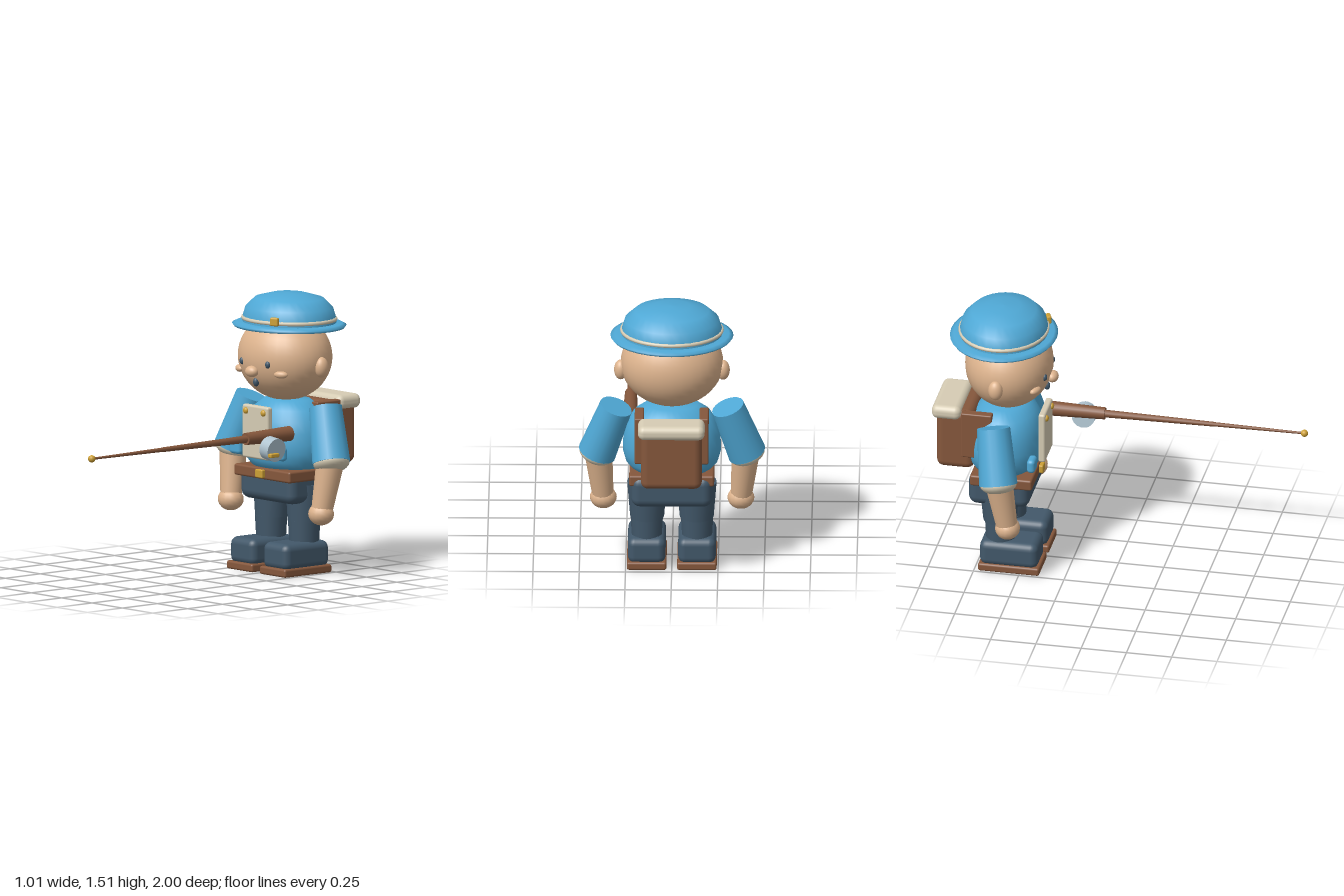
import * as THREE from 'three';
import { RoundedBoxGeometry } from 'three/addons/geometries/RoundedBoxGeometry.js';

const paint = (name, color) => {
  const m = new THREE.MeshStandardMaterial({ color });
  m.name = name;
  return m;
};

export function createModel() {
  const blue = paint('blue cloth', 0x4fa8d5);
  const skin = paint('skin', 0xdeb48e);
  const navy = paint('navy denim', 0x42586a);
  const brown = paint('brown leather', 0x85573c);
  const cream = paint('cream canvas', 0xd6ccb4);
  const gold = paint('brass', 0xcda035);
  const grey = paint('reel metal', 0xb0c4d0);

  const model = new THREE.Group();
  model.name = 'angler';

  const add = (name, geometry, material, x = 0, y = 0, z = 0) => {
    const mesh = new THREE.Mesh(geometry, material);
    mesh.name = name;
    mesh.position.set(x, y, z);
    model.add(mesh);
    return mesh;
  };
  const ball = (name, mat, x, y, z, rx, ry = rx, rz = rx, w = 24, h = 16) => {
    const mesh = add(name, new THREE.SphereGeometry(1, w, h), mat, x, y, z);
    mesh.scale.set(rx, ry, rz);
    return mesh;
  };
  const box = (name, mat, x, y, z, w, h, d, r = 0.01) =>
    add(name, new RoundedBoxGeometry(w, h, d, 3, r), mat, x, y, z);
  const lathe = (name, mat, points, z, depth) => {
    const pts = points.map(([r, y]) => new THREE.Vector2(r, y));
    const mesh = add(name, new THREE.LatheGeometry(pts, 32), mat, 0, 0, z);
    mesh.scale.z = depth;
    return mesh;
  };
  const up = new THREE.Vector3(0, 1, 0);
  // Tapered cylinder from point a to point b
  const limb = (name, mat, a, b, ra, rb, sides = 20) => {
    const A = new THREE.Vector3(...a), B = new THREE.Vector3(...b);
    const dir = B.clone().sub(A);
    const mid = A.add(B).multiplyScalar(0.5);
    const mesh = add(name, new THREE.CylinderGeometry(rb, ra, dir.length(), sides), mat, mid.x, mid.y, mid.z);
    mesh.quaternion.setFromUnitVectors(up, dir.normalize());
    return mesh;
  };

  // Head and face
  ball('head', skin, 0, 1.17, -0.602, 0.278, 0.24, 0.238, 32, 24);
  ball('nose', skin, 0, 1.106, -0.363, 0.042, 0.031, 0.032);
  ball('mouth', navy, 0, 1.046, -0.395, 0.016, 0.025, 0.018, 12, 10);
  for (const s of [-1, 1]) {
    ball('ear', skin, s * 0.277, 1.134, -0.622, 0.036, 0.056, 0.04);
    ball('eye', navy, s * 0.105, 1.151, -0.386, 0.016, 0.02, 0.014, 12, 10);
    ball('cheek', skin, s * 0.17, 1.1, -0.424, 0.04, 0.02, 0.022).rotation.y = s * 0.45;
  }

  // Hat
  lathe('hatBrim', blue, [[0, 1.325], [0.25, 1.325], [0.322, 1.328], [0.333, 1.342],
    [0.31, 1.352], [0.27, 1.354], [0.24, 1.356]], -0.632, 0.875);
  lathe('hatCrown', blue, [[0.272, 1.34], [0.274, 1.375], [0.255, 1.435], [0.2, 1.485],
    [0.1, 1.51], [0, 1.514]], -0.632, 0.875);
  const band = add('hatBand', new THREE.TorusGeometry(0.27, 0.011, 8, 40), cream, 0, 1.374, -0.632);
  band.rotation.x = Math.PI / 2;
  band.scale.y = 0.875;
  box('hatBadge', gold, 0.13, 1.386, -0.413, 0.048, 0.046, 0.025, 0.008).rotation.y = 0.4;

  // Torso, bib and pockets
  lathe('shirt', blue, [[0, 0.55], [0.19, 0.555], [0.225, 0.58], [0.25, 0.61], [0.264, 0.66],
    [0.266, 0.71], [0.259, 0.77], [0.243, 0.83], [0.207, 0.89], [0.14, 0.937], [0, 0.955]], -0.62, 0.79);
  box('bib', cream, 0, 0.771, -0.403, 0.212, 0.29, 0.038, 0.012);
  for (const s of [-1, 1]) ball('bibButton', gold, s * 0.072, 0.883, -0.384, 0.018, 0.018, 0.014, 14, 10);
  for (const x of [-0.206, 0.15]) box('pocket', blue, x, 0.666, -0.435, 0.088, 0.078, 0.045, 0.02);

  // Belt and trousers
  box('belt', brown, 0, 0.541, -0.604, 0.46, 0.062, 0.342, 0.012);
  box('beltBuckle', gold, 0, 0.542, -0.423, 0.06, 0.046, 0.026, 0.007);
  box('hips', navy, 0, 0.475, -0.622, 0.44, 0.18, 0.336, 0.05);

  for (const s of [-1, 1]) {
    // Legs and boots
    limb('upperLeg', navy, [s * 0.134, 0.485, -0.63], [s * 0.134, 0.28, -0.625], 0.108, 0.092);
    limb('lowerLeg', navy, [s * 0.136, 0.285, -0.62], [s * 0.136, 0.14, -0.62], 0.088, 0.08);
    box('boot', navy, s * 0.136, 0.104, -0.562, 0.204, 0.146, 0.322, 0.04);
    box('bootSole', brown, s * 0.136, 0.0225, -0.559, 0.214, 0.045, 0.338, 0.012);

    // Arms
    const sleeve = limb('sleeve', blue, [s * 0.302, 0.918, -0.628], [s * 0.406, 0.63, -0.58], 0.09, 0.104);
    ball('sleeveCuff', cream, s * 0.406, 0.632, -0.58, 0.1, 0.055, 0.1).quaternion.copy(sleeve.quaternion);
    limb('forearm', skin, [s * 0.398, 0.63, -0.578], [s * 0.374, 0.37, -0.54], 0.076, 0.058);
    ball('hand', skin, s * 0.372, 0.352, -0.536, 0.073, 0.062, 0.068, 16, 12);

    // Shoulder straps
    box('packStrap', brown, s * 0.175, 0.797, -0.745, 0.05, 0.266, 0.17, 0.008);
  }

  // Backpack with bedroll
  box('backpack', brown, 0, 0.745, -0.872, 0.33, 0.35, 0.206, 0.04);
  box('bedroll', cream, 0, 0.906, -0.918, 0.362, 0.08, 0.164, 0.035);

  // Fishing rod, reaching forward
  limb('rodGrip', brown, [0.227, 0.785, -0.435], [0.227, 0.785, -0.12], 0.041, 0.033);
  limb('rodLower', brown, [0.227, 0.784, -0.13], [0.226, 0.784, 0.48], 0.021, 0.013, 12);
  limb('rodUpper', brown, [0.226, 0.784, 0.47], [0.225, 0.783, 0.98], 0.012, 0.006, 12);
  ball('rodTip', gold, 0.225, 0.783, 0.98, 0.02, 0.02, 0.02, 14, 10);
  limb('reel', grey, [0.266, 0.73, -0.25], [0.334, 0.722, -0.25], 0.064, 0.064, 24);
  box('reelCrank', gold, 0.343, 0.698, -0.222, 0.028, 0.022, 0.062, 0.006);

  return model;
}
